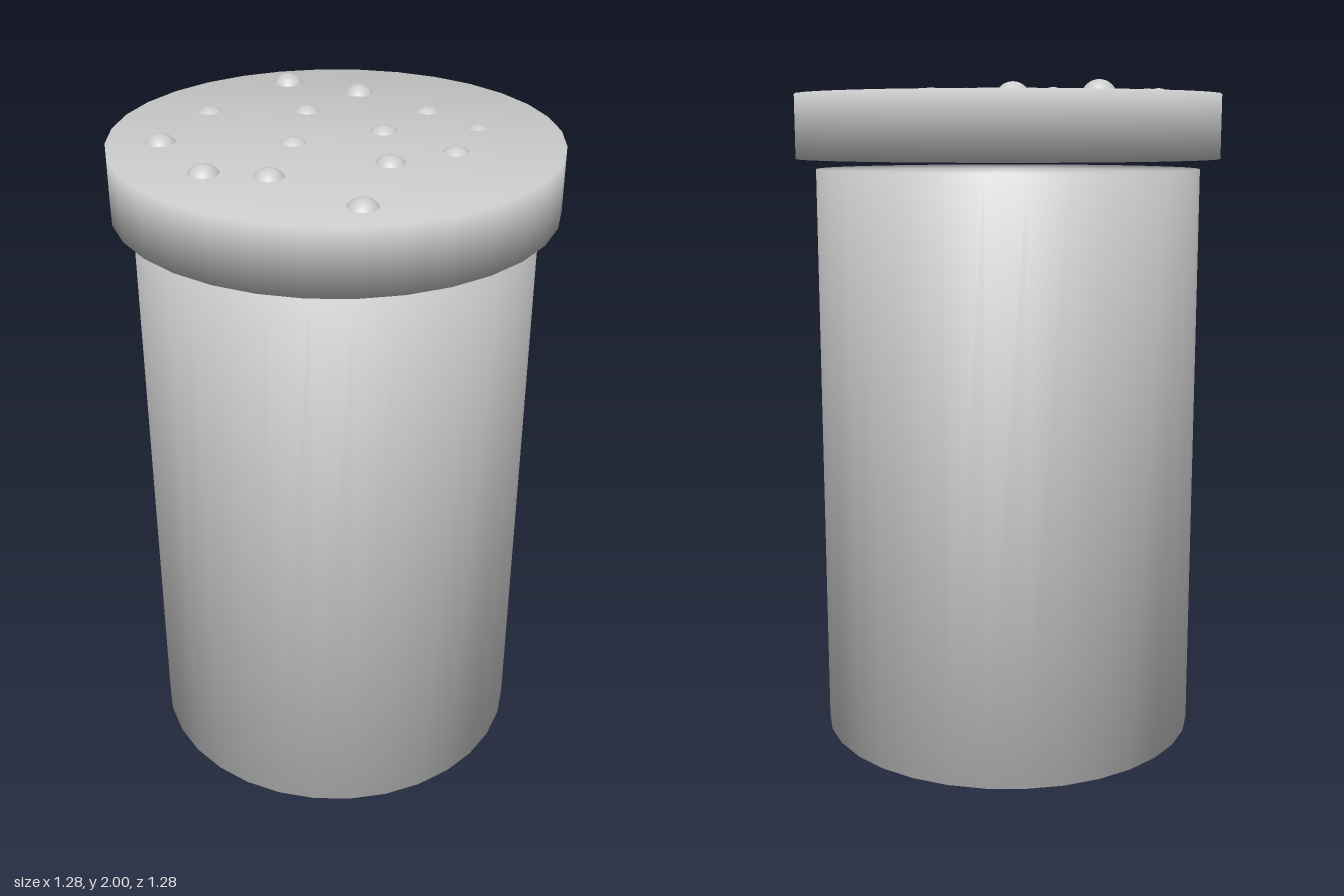
import * as THREE from 'three';

const SIDES = 32;

// Closed cylinder whose normals run smoothly over the rims; tilt is the up/out ratio at the rim.
function softCylinder(radius, bottom, top, tilt) {
  const geo = new THREE.CylinderGeometry(radius, radius, top - bottom, SIDES);
  const pos = geo.attributes.position;
  const normal = geo.attributes.normal;
  const len = Math.hypot(1, tilt);
  for (let i = 0; i < pos.count; i++) {
    normal.setXYZ(
      i,
      pos.getX(i) / radius / len,
      (Math.sign(pos.getY(i)) * tilt) / len,
      pos.getZ(i) / radius / len
    );
  }
  geo.translate(0, (top + bottom) / 2, 0);
  return geo;
}

export function createModel() {
  const model = new THREE.Group();
  model.name = 'lidded canister';
  const grey = new THREE.MeshStandardMaterial({ color: 0xcccccc });
  grey.name = 'light grey';

  const add = (name, geometry, parent = model) => {
    const mesh = new THREE.Mesh(geometry, grey);
    mesh.name = name;
    parent.add(mesh);
    return mesh;
  };

  // Container and the lid floating just above it
  const lidTop = 1.97;
  add('body', softCylinder(0.58, 0, 1.75, 0.45));
  add('lid', softCylinder(0.64, 1.78, lidTop, 3.3));

  // Equal balls sunk into the lid: x, z and the radius of the circle left showing
  const bumps = new THREE.Group();
  bumps.name = 'lid bumps';
  model.add(bumps);
  const ballRadius = 0.05;
  const ball = new THREE.SphereGeometry(ballRadius, 32, 16);
  const spots = [
    [-0.065, -0.428, 0.034], [0.288, -0.438, 0.045], [-0.342, -0.346, 0.042],
    [0.123, -0.216, 0.036], [0.353, -0.209, 0.043], [-0.435, -0.086, 0.043],
    [-0.106, -0.064, 0.036], [-0.342, 0.062, 0.042], [0.127, 0.07, 0.038],
    [0.349, 0.055, 0.033], [-0.056, 0.24, 0.041], [0.123, 0.325, 0.036],
    [0.325, 0.253, 0.029], [-0.342, 0.38, 0.042],
  ];
  for (const [x, z, r] of spots) {
    const y = lidTop - Math.sqrt(ballRadius ** 2 - r ** 2);
    add('bump', ball, bumps).position.set(x, y, z);
  }
  return model;
}
